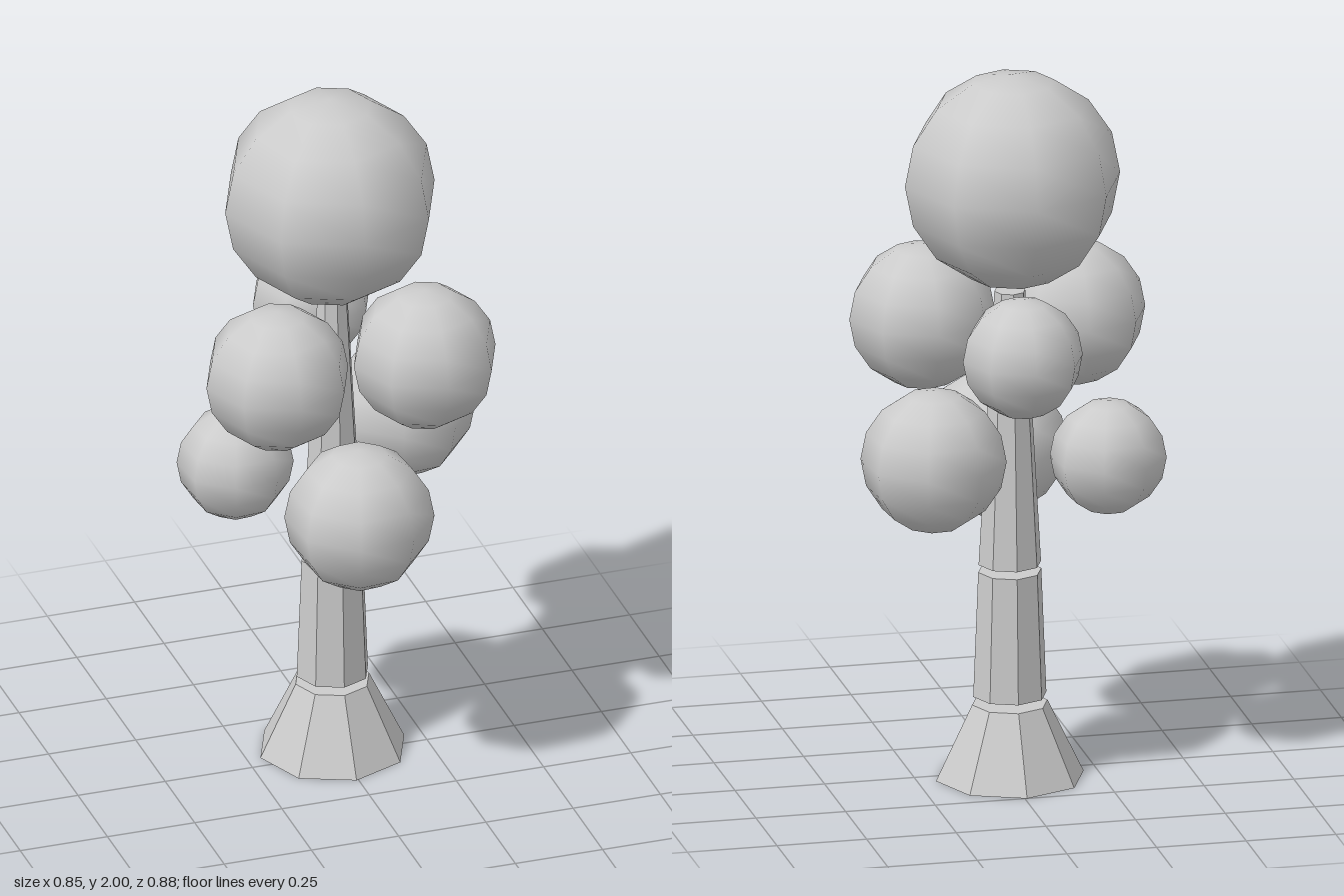
import * as THREE from 'three';

export function createModel() {
  const model = new THREE.Group();
  const bark = new THREE.MeshStandardMaterial({ color: 0xcccccc, flatShading: true });
  const leaf = new THREE.MeshStandardMaterial({ color: 0xcccccc });

  // Trunk: three separate eight-sided tapered sections with narrow gaps
  const trunk = new THREE.Group();
  trunk.name = 'trunk';
  trunk.position.set(-0.006, 0, -0.045);
  model.add(trunk);
  const sections = [
    // name, bottom y, top y, bottom radius, top radius
    ['trunkBase', 0, 0.21, 0.206, 0.105],
    ['trunkMiddle', 0.233, 0.587, 0.102, 0.088],
    ['trunkTop', 0.608, 1.386, 0.087, 0.043],
  ];
  for (const [name, y0, y1, r0, r1] of sections) {
    const mesh = new THREE.Mesh(new THREE.CylinderGeometry(r1, r0, y1 - y0, 8), bark);
    mesh.name = name;
    mesh.position.y = (y0 + y1) / 2;
    trunk.add(mesh);
  }

  // Foliage: coarse smooth balls; the lower ring is turned slightly
  const foliage = new THREE.Group();
  foliage.name = 'foliage';
  model.add(foliage);
  const lowerTurn = -0.3;
  const balls = [
    // name, x, y, z, radius, turn
    ['crownBall', -0.015, 1.7, -0.039, 0.3, 0],
    ['upperRightBall', -0.22, 1.26, 0.122, 0.203, 0],
    ['upperLeftBall', 0.193, 1.27, 0.149, 0.203, 0],
    ['upperBackBall', 0.012, 1.267, -0.277, 0.167, 0],
    ['lowerFrontBall', -0.026, 0.86, 0.244, 0.204, lowerTurn],
    ['lowerRightBall', -0.272, 0.905, -0.082, 0.159, lowerTurn],
    ['lowerLeftBall', 0.234, 0.955, -0.162, 0.199, lowerTurn],
  ];
  for (const [name, x, y, z, r, turn] of balls) {
    const mesh = new THREE.Mesh(new THREE.SphereGeometry(r, 8, 8), leaf);
    mesh.name = name;
    mesh.position.set(x, y, z);
    mesh.rotation.y = turn;
    foliage.add(mesh);
  }
  return model;
}
